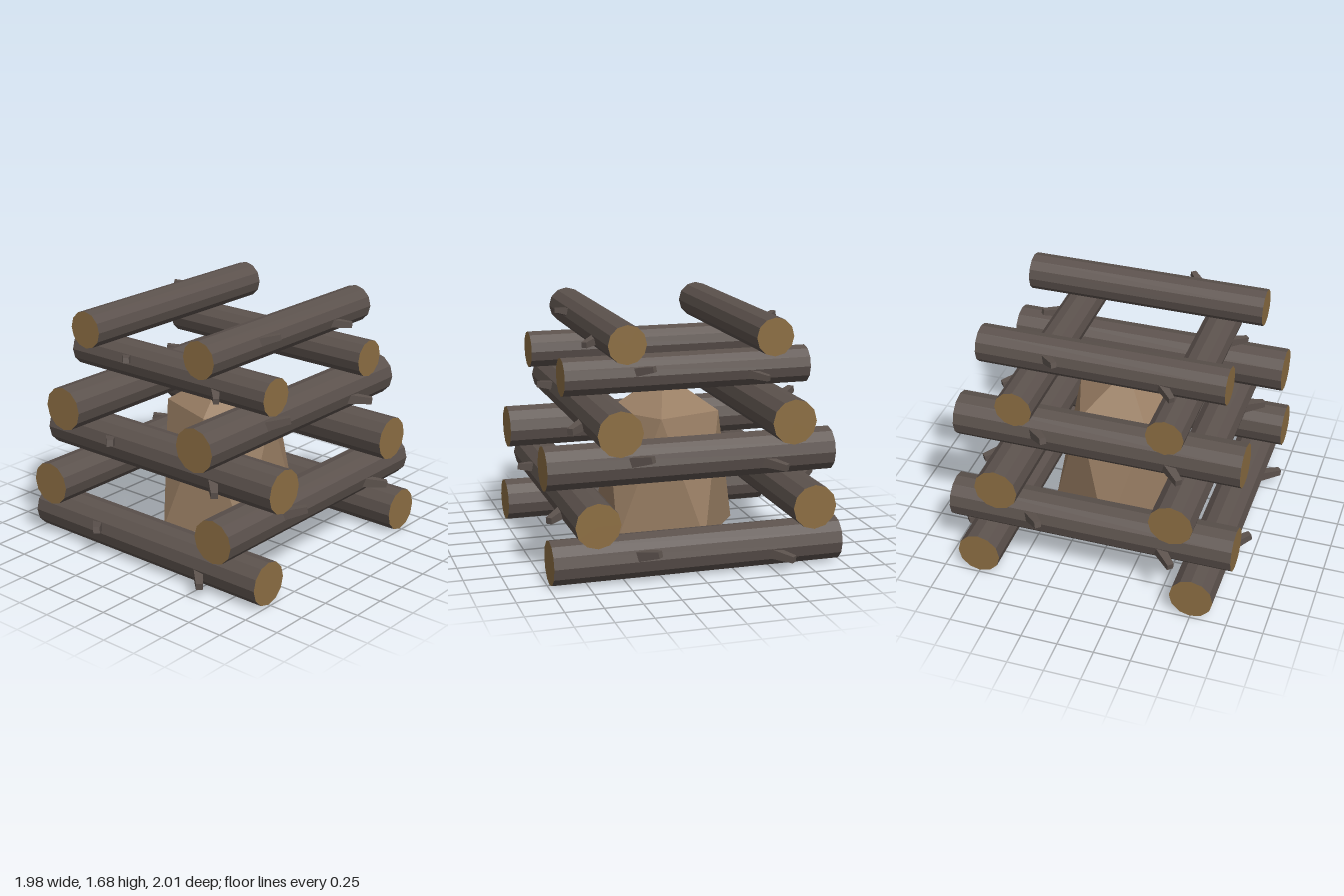
import * as THREE from 'three';

const bark = new THREE.MeshStandardMaterial({ color: 0x5c524d, flatShading: true });
bark.name = 'bark';
const cutWood = new THREE.MeshStandardMaterial({ color: 0x8c6e43, flatShading: true });
cutWood.name = 'cutWood';
const tinder = new THREE.MeshStandardMaterial({ color: 0x987d63, flatShading: true });
tinder.name = 'tinder';

// Square tapered twig stub from base to tip
function makeStub(base, tip) {
  const from = new THREE.Vector3(...base);
  const to = new THREE.Vector3(...tip);
  const geo = new THREE.CylinderGeometry(0.031, 0.047, from.distanceTo(to), 4);
  geo.rotateY(Math.PI / 4);
  geo.rotateX(Math.PI / 2);
  const stub = new THREE.Mesh(geo, bark);
  stub.name = 'branchStub';
  stub.position.copy(from).lerp(to, 0.5);
  stub.lookAt(to);
  return stub;
}

// Log along x with cut ends and two stubs on its outer (+z) side
function makeLog(name) {
  const log = new THREE.Group();
  log.name = name;
  const geo = new THREE.CylinderGeometry(0.149, 0.149, 1.966, 12);
  geo.rotateZ(Math.PI / 2);
  const trunk = new THREE.Mesh(geo, [bark, cutWood, cutWood]);
  trunk.name = 'trunk';
  log.add(
    trunk,
    makeStub([-0.42, 0.03, 0.11], [-0.31, 0.068, 0.235]),
    makeStub([0.49, -0.033, 0.11], [0.606, -0.055, 0.235])
  );
  return log;
}

// Faceted core: pointed cap, twisted five-sided body, flat base
function makeCore() {
  const ring = (radius, y, twist) => Array.from({ length: 5 }, (_, i) => {
    const a = (i * 2 + twist) * Math.PI / 5;
    return [radius * Math.cos(a), y, radius * Math.sin(a)];
  });
  const upper = ring(0.402, 0.957, 0);
  const lower = ring(0.505, 0.12, 1);
  const apex = [0, 1.197, 0];
  const foot = [0, 0.12, 0];
  const points = [];
  for (let i = 0; i < 5; i++) {
    const j = (i + 1) % 5;
    points.push(apex, upper[j], upper[i]);
    points.push(upper[i], upper[j], lower[i]);
    points.push(lower[i], upper[j], lower[j]);
    points.push(foot, lower[i], lower[j]);
  }
  const geo = new THREE.BufferGeometry();
  geo.setAttribute('position', new THREE.Float32BufferAttribute(points.flat(), 3));
  geo.computeVertexNormals();
  const core = new THREE.Mesh(geo, tinder);
  core.name = 'tinderCore';
  return core;
}

export function createModel() {
  const model = new THREE.Group();
  model.name = 'logStack';

  // Crossed pairs: height, offsets on the positive and negative side, scale
  const layers = [
    [0.157, 0.75, 0.75, 1],
    [0.448, 0.715, 0.742, 1],
    [0.74, 0.6, 0.597, 1],
    [1.028, 0.566, 0.59, 1],
    [1.31, 0.508, 0.505, 0.85],
    [1.56, 0.48, 0.504, 0.85],
  ];
  layers.forEach(([y, plus, minus, scale], i) => {
    const turn = (i % 2) * Math.PI / 2;
    [plus, minus].forEach((distance, side) => {
      const log = makeLog(`logLayer${i + 1}Side${side + 1}`);
      const angle = turn + side * Math.PI;
      log.rotation.y = angle;
      log.scale.setScalar(scale);
      log.position.set(Math.sin(angle) * distance, y, Math.cos(angle) * distance);
      model.add(log);
    });
  });

  model.add(makeCore());
  return model;
}
